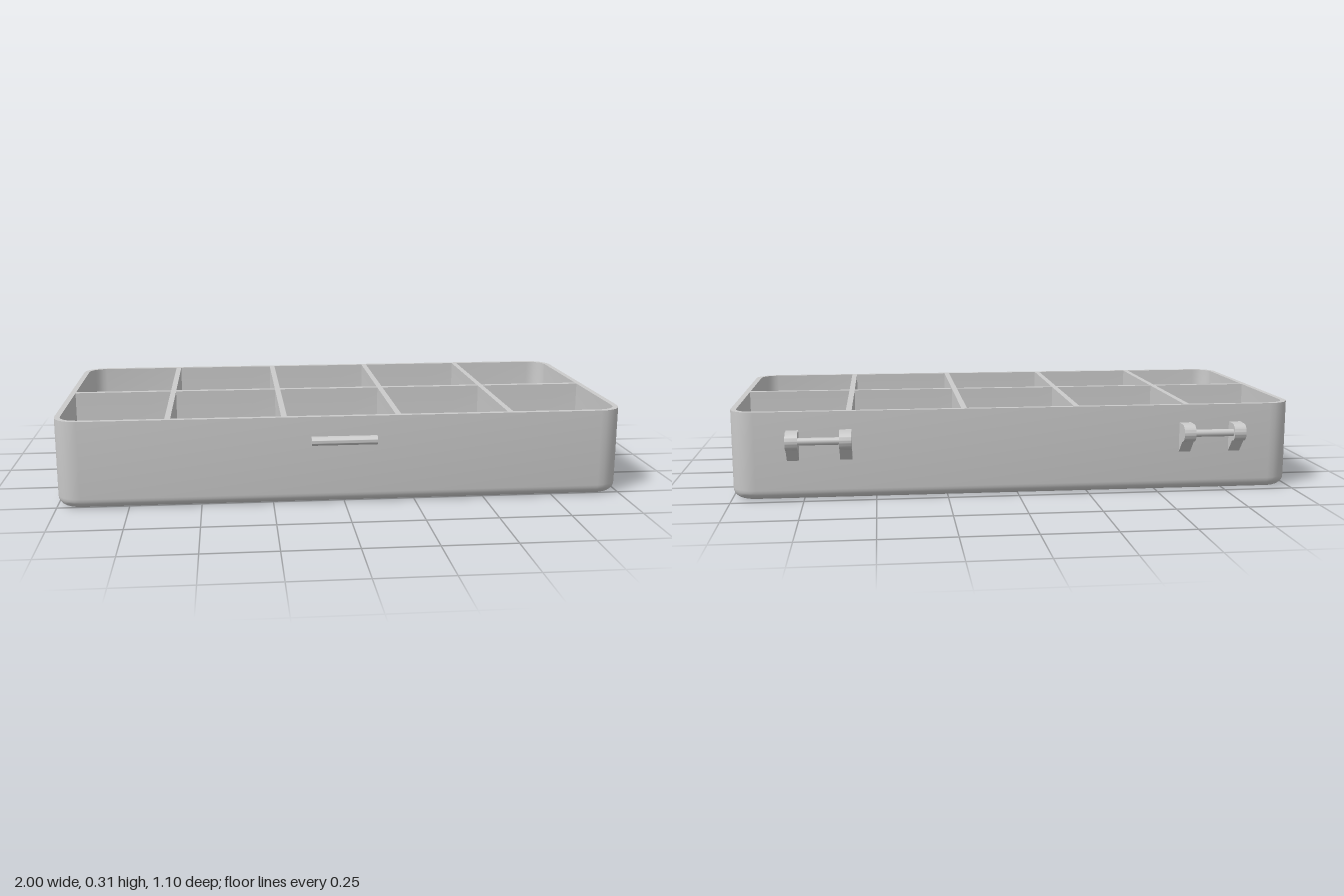
import * as THREE from 'three';
import { toCreasedNormals } from 'three/addons/utils/BufferGeometryUtils.js';

const H = 0.31, FLOOR = 0.02;
const material = new THREE.MeshStandardMaterial({ color: 0xcccccc });
const STEPS = 6;

// Rounded rectangle, counter-clockwise from above, with its own radius per corner
// (front-right, back-right, back-left, front-left on the page) and an inset.
function ring(r, inset, y) {
  const x0 = r.x0 + inset, x1 = r.x1 - inset, z0 = r.z0 + inset, z1 = r.z1 - inset;
  const corners = [[x1, z1, -1, -1], [x1, z0, -1, 1], [x0, z0, 1, 1], [x0, z1, 1, -1]];
  const points = [];
  corners.forEach(([x, z, sx, sz], k) => {
    const rad = Math.max(r.radii[k] - inset, 0);
    for (let i = 0; i <= STEPS; i++) {
      const a = (k - 1 + i / STEPS) * Math.PI / 2;
      points.push(new THREE.Vector3(
        x + rad * (sx + Math.cos(a)), y, z + rad * (sz - Math.sin(a))));
    }
  });
  return points;
}

// All points of a ring gathered in the middle, to close a floor
function centreRing(r, y) {
  const c = new THREE.Vector3((r.x0 + r.x1) / 2, y, (r.z0 + r.z1) / 2);
  return ring(r, 0, y).map(() => c);
}

// Skin between successive rings, leaving out collapsed triangles
function loft(rings) {
  const pos = [], tri = new THREE.Triangle();
  const add = (a, b, c) => {
    if (tri.set(a, b, c).getArea() > 1e-9) pos.push(...a, ...b, ...c);
  };
  for (let j = 0; j < rings.length - 1; j++) {
    const lo = rings[j], hi = rings[j + 1], n = lo.length;
    for (let i = 0; i < n; i++) {
      const k = (i + 1) % n;
      add(lo[i], lo[k], hi[k]);
      add(lo[i], hi[k], hi[i]);
    }
  }
  const g = new THREE.BufferGeometry();
  g.setAttribute('position', new THREE.Float32BufferAttribute(pos, 3));
  return toCreasedNormals(g, 0.6);
}

function addMesh(parent, name, geometry) {
  const mesh = new THREE.Mesh(geometry, material);
  mesh.name = name;
  parent.add(mesh);
  return mesh;
}

function createTray() {
  const tray = new THREE.Group();
  tray.name = 'tray';
  const outer = { x0: -1, x1: 1, z0: -0.475, z1: 0.525, radii: [0.085, 0.085, 0.085, 0.085] };

  // Outer shell with a rounded bottom edge
  const edge = 0.035, shell = [centreRing(outer, 0)];
  for (let i = 0; i <= STEPS; i++) {
    const a = i / STEPS * Math.PI / 2;
    shell.push(ring(outer, edge * (1 - Math.sin(a)), edge * (1 - Math.cos(a))));
  }
  shell.push(ring(outer, 0, H));
  addMesh(tray, 'outerShell', loft(shell));

  // Ten compartments with coved floors; only the tray's own corners are rounded
  const columns = [[-0.98, -0.62], [-0.6, -0.22], [-0.2, 0.18], [0.2, 0.58], [0.6, 0.98]];
  const rows = [[-0.455, 0.022], [0.044, 0.505]];
  const flat = (pts) => pts.map((p) => new THREE.Vector2(p.x, -p.z));
  const rim = new THREE.Shape(flat(ring(outer, 0, H)));
  const cove = 0.06, R = 0.065;
  rows.forEach(([z0, z1], row) => columns.forEach(([x0, x1], col) => {
    const left = col === 0, right = col === 4, back = row === 0;
    const cell = { x0, x1, z0, z1, radii: [
      right && !back ? R : 0, right && back ? R : 0,
      left && back ? R : 0, left && !back ? R : 0] };
    const rings = [ring(cell, 0, H)];
    for (let i = 0; i <= STEPS; i++) {
      const a = i / STEPS * Math.PI / 2;
      rings.push(ring(cell, cove * (1 - Math.cos(a)), FLOOR + cove * (1 - Math.sin(a))));
    }
    rings.push(centreRing(cell, FLOOR));
    addMesh(tray, 'compartment', loft(rings));
    const outline = flat(rings[0]).filter((p, i, all) => i === 0 || p.distanceTo(all[i - 1]) > 1e-6);
    rim.holes.push(new THREE.Path(outline));
  }));

  // Flat top of the walls and dividers
  const top = new THREE.ShapeGeometry(rim).rotateX(-Math.PI / 2).translate(0, H, 0);
  addMesh(tray, 'rim', top);
  return tray;
}

// Two lugs and a pin on the back wall
function createHinge(x) {
  const hinge = new THREE.Group();
  hinge.name = 'hinge';
  const width = 0.042, half = 0.112, r = 0.031, cz = 0.517, cy = 0.215;
  const profile = new THREE.Shape();
  profile.moveTo(0.47, 0.139);
  profile.lineTo(0.475, 0.139);
  profile.lineTo(cz, cy - r);
  profile.absarc(cz, cy, r, -Math.PI / 2, Math.PI / 2, false);
  profile.lineTo(0.47, cy + r);
  for (const start of [-half, half - width]) {
    const lug = new THREE.ExtrudeGeometry(profile, { depth: width, bevelEnabled: false, curveSegments: 16 });
    lug.rotateY(Math.PI / 2).translate(start, 0, 0);
    addMesh(hinge, 'hingeLug', toCreasedNormals(lug, 0.6));
  }
  const pin = new THREE.CylinderGeometry(0.013, 0.013, 2 * (half - width) + 0.02, 20);
  pin.rotateZ(Math.PI / 2).translate(0, cy, -0.525);
  addMesh(hinge, 'hingePin', pin);
  hinge.position.x = x;
  return hinge;
}

// Round-nosed catch on the front wall
function createCatch() {
  const r = 0.015, profile = new THREE.Shape();
  profile.moveTo(-0.52, -r);
  profile.lineTo(-0.52, r);
  profile.lineTo(-0.535, r);
  profile.absarc(-0.535, 0, r, Math.PI / 2, Math.PI * 1.5, false);
  const g = new THREE.ExtrudeGeometry(profile, { depth: 0.23, bevelEnabled: false, curveSegments: 16 });
  g.rotateY(Math.PI / 2).translate(-0.117, 0.225, 0);
  return toCreasedNormals(g, 0.6);
}

export function createModel() {
  const model = new THREE.Group();
  model.name = 'compartmentBox';
  model.add(createTray());
  for (const side of [-1, 1]) model.add(createHinge(side * 0.693));
  addMesh(model, 'frontCatch', createCatch());
  return model;
}
